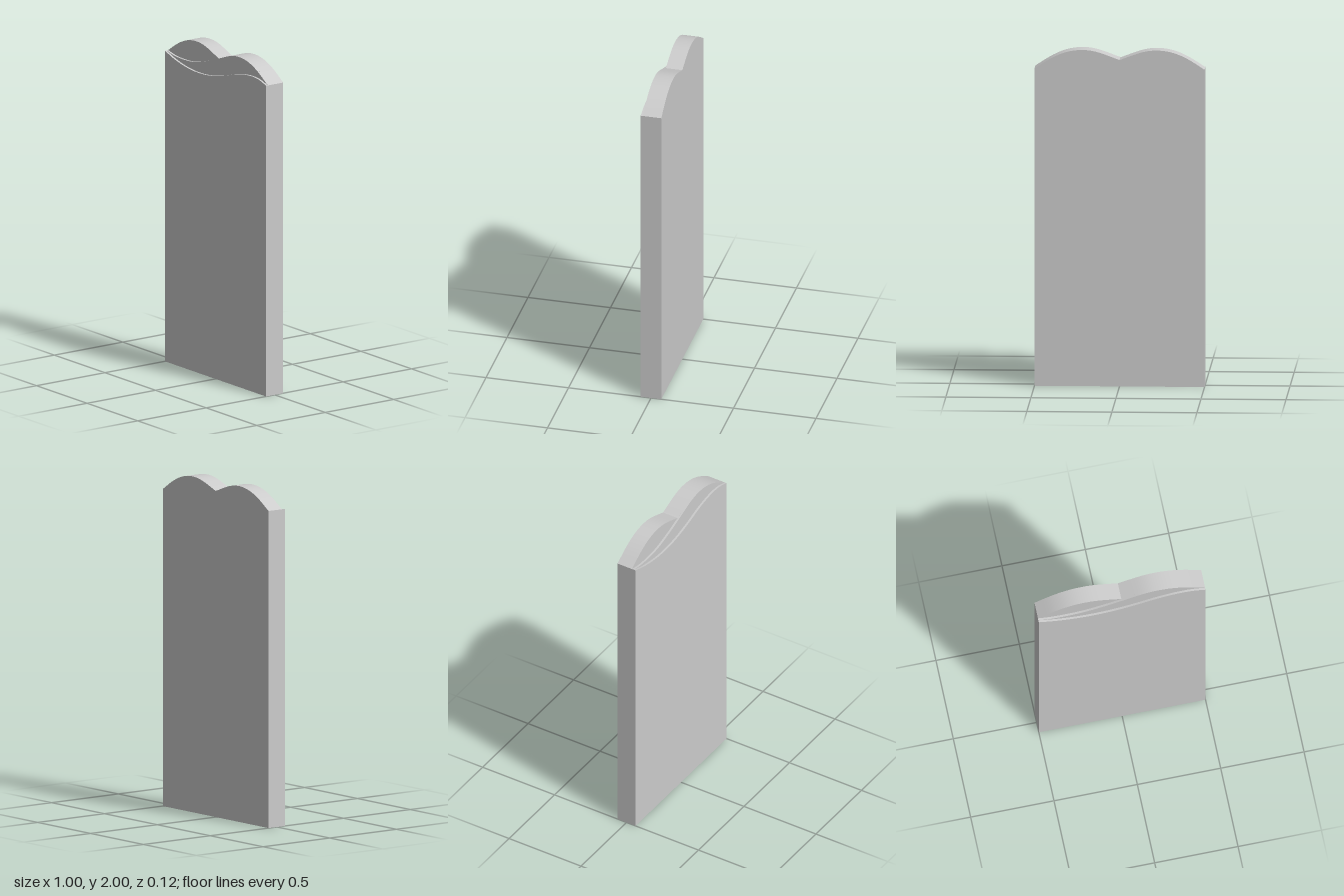
import * as THREE from 'three';
import { toCreasedNormals } from 'three/addons/utils/BufferGeometryUtils.js';

const HALF_WIDTH = 0.5;

// Smooth crest lines, from the -x side to the +x side
const leftHump = [[-0.5, 1.888], [-0.4, 1.951], [-0.31, 1.988], [-0.22, 2], [-0.13, 1.988], [0, 1.942]];
const rightHump = leftHump.map(([x, y]) => [-x, y]).reverse();
const middleWave = [[-0.5, 1.888], [-0.42, 1.872], [-0.32, 1.868], [-0.22, 1.877], [-0.1, 1.908], ...rightHump];
const frontWave = [
  [-0.5, 1.888], [-0.4, 1.855], [-0.28, 1.831], [-0.17, 1.824], [-0.05, 1.832], [0.08, 1.859],
  [0.19, 1.891], [0.28, 1.909], [0.36, 1.915], [0.43, 1.909], [0.5, 1.888],
];

// Upright slab between two depths, topped by one or more crest curves
function slab(name, crests, z0, z1) {
  const outline = [new THREE.Vector2(HALF_WIDTH, 0), new THREE.Vector2(-HALF_WIDTH, 0)];
  crests.forEach((crest, i) => {
    const curve = new THREE.SplineCurve(crest.map(([x, y]) => new THREE.Vector2(x, y)));
    outline.push(...curve.getPoints(crest.length * 6).slice(i ? 1 : 0));
  });
  const geometry = new THREE.ExtrudeGeometry(new THREE.Shape(outline), { depth: z1 - z0, bevelEnabled: false });
  geometry.translate(0, 0, z0);
  const mesh = new THREE.Mesh(
    toCreasedNormals(geometry, 0.4),
    new THREE.MeshStandardMaterial({ color: 0xcccccc })
  );
  mesh.name = name;
  return mesh;
}

export function createModel() {
  const group = new THREE.Group();
  group.name = 'headstone';
  group.add(
    // Thick back with two humps
    slab('backSlab', [leftHump, rightHump], -0.0625, 0.0375),
    // Thin layer sweeping up into the right hump
    slab('middleLayer', [middleWave], 0.0375, 0.05),
    // Thin front face with a shallow wave
    slab('frontLayer', [frontWave], 0.05, 0.0625)
  );
  return group;
}
